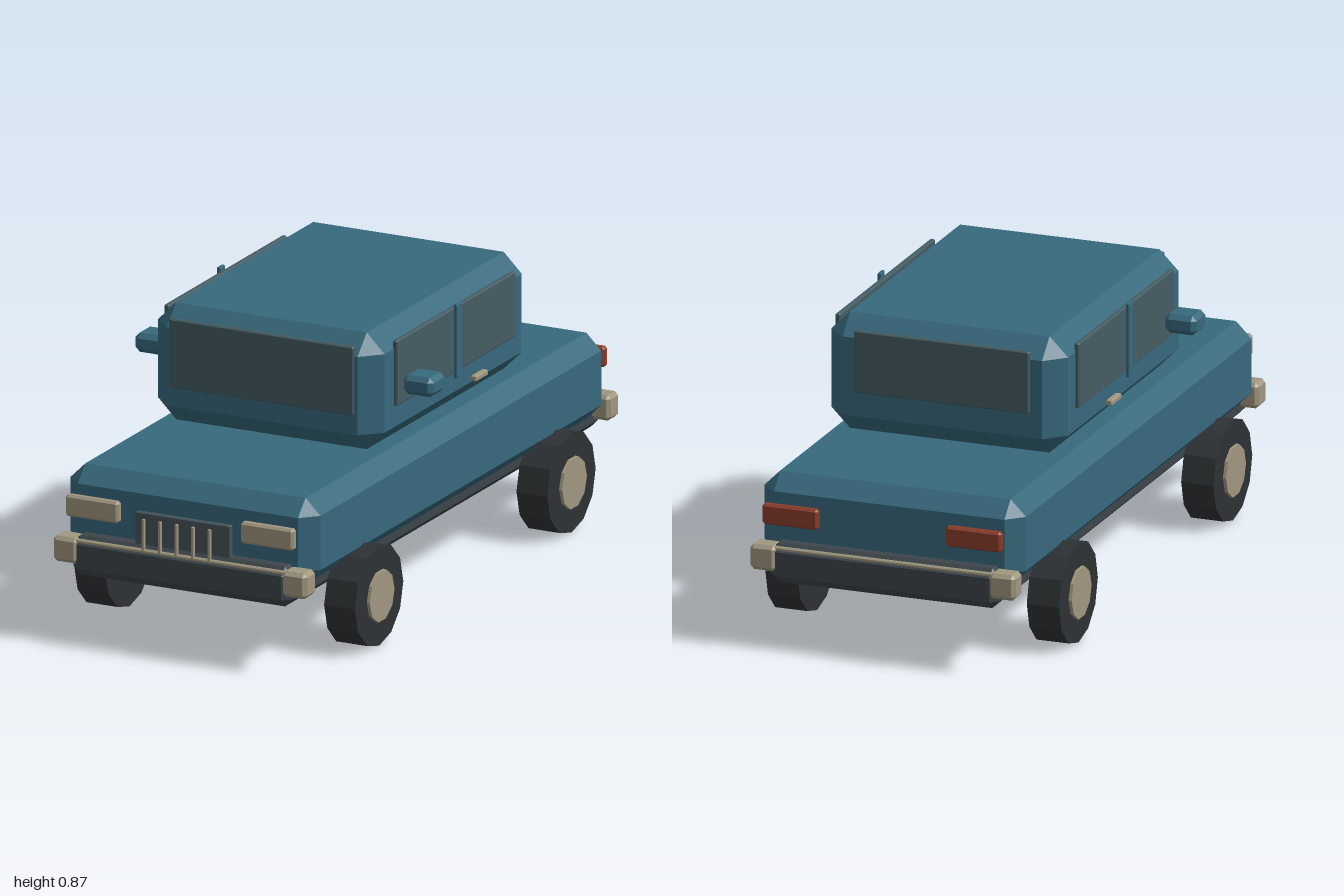
import * as THREE from 'three';
import { ConvexGeometry } from 'three/addons/geometries/ConvexGeometry.js';

const paint = (color) => new THREE.MeshStandardMaterial({ color, flatShading: true });

// Box between two extents per axis, every edge chamfered by c
function chamferBox([x0, x1], [y0, y1], [z0, z1], c) {
  const half = [(x1 - x0) / 2, (y1 - y0) / 2, (z1 - z0) / 2];
  const points = [];
  for (const sx of [-1, 1]) for (const sy of [-1, 1]) for (const sz of [-1, 1]) {
    for (let axis = 0; axis < 3; axis++) {
      const h = half.map((v, i) => (i === axis ? v : v - c));
      points.push(new THREE.Vector3(sx * h[0], sy * h[1], sz * h[2]));
    }
  }
  return new ConvexGeometry(points).translate((x0 + x1) / 2, (y0 + y1) / 2, (z0 + z1) / 2);
}

export function createModel() {
  const car = new THREE.Group();
  car.name = 'car';
  const blue = paint(0x37697d);
  const glass = paint(0x445c63);
  const dark = paint(0x3d454b);
  const grey = paint(0x46545b);
  const rubber = paint(0x2e3234);
  const trim = paint(0xa0977f);
  const red = paint(0x8c3e2b);

  const add = (name, geometry, material) => {
    const mesh = new THREE.Mesh(geometry, material);
    mesh.name = name;
    car.add(mesh);
    return mesh;
  };
  const block = (name, x, y, z, c, material) => add(name, chamferBox(x, y, z, c), material);
  // The same block on both sides of the car
  const pair = (name, [a, b], y, z, c, material) => {
    block(name + 'Left', [a, b], y, z, c, material);
    block(name + 'Right', [-b, -a], y, z, c, material);
  };

  // Main masses
  block('chassis', [-0.355, 0.355], [0.2, 0.32], [-0.99, 0.978], 0.024, dark);
  block('lowerBody', [-0.405, 0.405], [0.25, 0.51], [-0.937, 0.923], 0.048, blue);
  block('cabin', [-0.367, 0.367], [0.515, 0.868], [-0.521, 0.456], 0.058, blue);

  // Glazing and door pillars
  block('windshield', [-0.3, 0.3], [0.632, 0.84], [0.448, 0.465], 0.004, glass);
  block('rearWindow', [-0.272, 0.272], [0.646, 0.835], [-0.53, -0.513], 0.004, glass);
  pair('sideWindow', [0.362, 0.379], [0.638, 0.836], [-0.405, 0.34], 0.004, glass);
  pair('doorPillar', [0.379, 0.39], [0.624, 0.847], [-0.045, -0.013], 0.002, blue);

  // Mirrors and door handles
  pair('mirror', [0.386, 0.484], [0.672, 0.73], [0.235, 0.328], 0.014, blue);
  pair('doorHandle', [0.377, 0.397], [0.584, 0.601], [-0.195, -0.12], 0.003, trim);

  // Lamps
  pair('headlight', [0.198, 0.37], [0.378, 0.443], [0.953, 0.98], 0.007, trim);
  pair('tailLight', [0.198, 0.37], [0.38, 0.442], [-1.0, -0.975], 0.007, red);

  // Grille with upright bars
  block('grille', [-0.155, 0.153], [0.29, 0.416], [0.936, 0.954], 0.003, grey);
  for (let i = -2; i <= 2; i++) {
    const x = i * 0.0535;
    block('grilleBar', [x - 0.004, x + 0.004], [0.314, 0.411], [0.99, 1.0], 0.001, trim);
  }

  // Bumpers: a thin bar with heavier corner blocks
  for (const [name, bar, end] of [
    ['frontBumper', [0.935, 0.973], [0.91, 0.98]],
    ['rearBumper', [-0.985, -0.945], [-0.995, -0.928]],
  ]) {
    block(name + 'Bar', [-0.38, 0.38], [0.24, 0.311], bar, 0.004, trim);
    pair(name + 'End', [0.33, 0.411], [0.236, 0.313], end, 0.011, trim);
  }

  // Wheels with hubcaps on the outer face
  const tyreGeometry = new THREE.CylinderGeometry(0.152, 0.152, 0.1, 12).rotateZ(Math.PI / 2);
  const hubGeometry = new THREE.CylinderGeometry(0.078, 0.078, 0.03, 10).rotateZ(Math.PI / 2);
  for (const side of [-1, 1]) for (const z of [0.603, -0.605]) {
    const place = (z > 0 ? 'front' : 'rear') + (side > 0 ? 'Left' : 'Right');
    add(place + 'Tyre', tyreGeometry, rubber).position.set(side * 0.405, 0.152, z);
    add(place + 'Hubcap', hubGeometry, trim).position.set(side * 0.45, 0.152, z);
  }

  return car;
}
